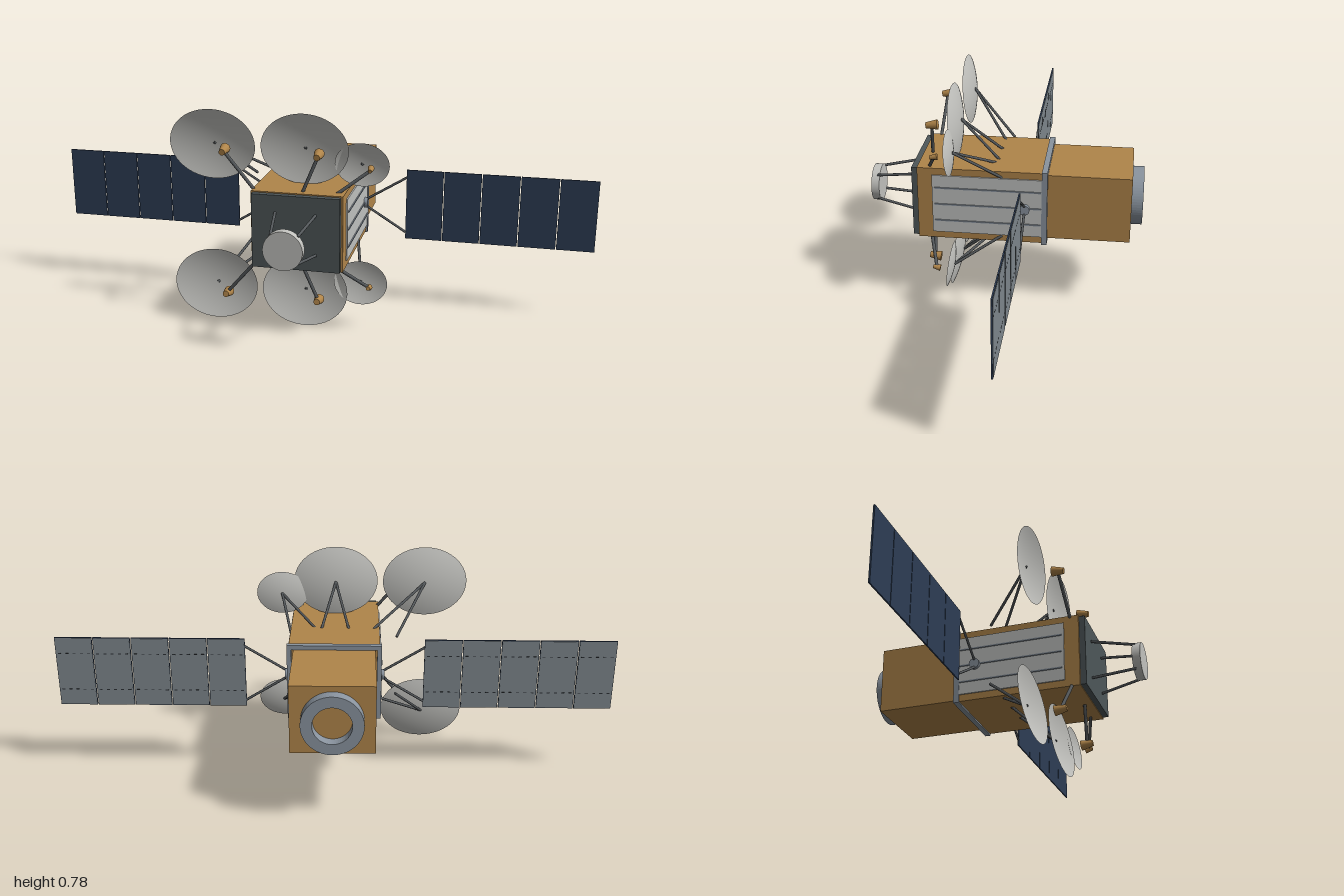
import * as THREE from 'three';

const CY = 0.39; // height of the main axis
const mat = (name, color, side = THREE.FrontSide) => {
  const m = new THREE.MeshStandardMaterial({ color, side });
  m.name = name;
  return m;
};

export function createModel() {
  const M = {
    gold: mat('gold foil', 0xb0854a),
    dish: mat('pale dish grey', 0xc2c2be, THREE.DoubleSide),
    silver: mat('radiator silver', 0xc0c2c0),
    steel: mat('blue steel', 0x8a949f),
    strut: mat('dark strut grey', 0x54585b),
    plate: mat('dark front plate', 0x4e5759),
    solar: mat('solar navy', 0x2d3d55),
    back: mat('panel back grey', 0x7e878d),
    dark: mat('near black', 0x2a2e32),
  };
  const root = new THREE.Group();
  root.name = 'satellite';

  const add = (name, geometry, material, x = 0, y = 0, z = 0, parent = root) => {
    const mesh = new THREE.Mesh(geometry, material);
    mesh.name = name;
    mesh.position.set(x, y, z);
    parent.add(mesh);
    return mesh;
  };
  const box = (name, material, w, h, d, x, y, z, parent) =>
    add(name, new THREE.BoxGeometry(w, h, d), material, x, y, z, parent);

  // Round bar or cone between two points
  const UP = new THREE.Vector3(0, 1, 0);
  const bar = (name, material, a, b, r0, r1 = r0, sides = 10) => {
    const p = new THREE.Vector3(...a), q = new THREE.Vector3(...b);
    const dir = q.clone().sub(p);
    const mesh = add(name, new THREE.CylinderGeometry(r1, r0, dir.length(), sides), material);
    mesh.position.copy(p).add(q).multiplyScalar(0.5);
    mesh.quaternion.setFromUnitVectors(UP, dir.normalize());
    return mesh;
  };

  // Body
  box('frontBody', M.gold, 0.32, 0.27, 0.45, 0, CY + 0.002, 0.077);
  box('rearBody', M.gold, 0.286, 0.244, 0.31, 0, CY + 0.002, -0.297);
  box('frontPlate', M.plate, 0.306, 0.262, 0.022, 0, CY + 0.002, 0.312);

  // Frame between the two bodies
  for (const s of [-1, 1]) {
    box('frameUpright', M.steel, 0.016, 0.28, 0.02, s * 0.158, CY + 0.002, -0.149);
    box('frameRail', M.steel, 0.332, 0.016, 0.02, 0, CY + 0.002 + s * 0.132, -0.149);
  }

  // Engine ring at the rear
  const ring = new THREE.Shape().absarc(0, 0, 0.105, 0, Math.PI * 2, false);
  ring.holes.push(new THREE.Path().absarc(0, 0, 0.066, 0, Math.PI * 2, true));
  add('engineRing', new THREE.ExtrudeGeometry(ring, { depth: 0.041, bevelEnabled: false, curveSegments: 32 }),
    M.steel, 0, CY, -0.492);

  // Front antenna drum on four legs
  const drum = add('antennaDrum', new THREE.CylinderGeometry(0.067, 0.067, 0.029, 40), M.dish, 0, CY, 0.48);
  drum.rotation.x = Math.PI / 2;
  for (const sx of [-1, 1]) for (const sy of [-1, 1]) {
    bar('drumLeg', M.strut, [sx * 0.07, CY + sy * 0.071, 0.322], [sx * 0.045, CY + sy * 0.046, 0.475], 0.005);
  }

  // Side radiators and solar wings
  const cells = 5, x0 = 0.318, x1 = 1.0, pitch = (x1 - x0) / cells;
  const wingH = 0.263, wingZ = -0.079;
  for (const s of [-1, 1]) {
    box('radiator', M.silver, 0.006, 0.22, 0.388, s * 0.162, CY + 0.002, 0.055);
    for (const dy of [-0.063, 0, 0.063]) {
      box('radiatorRib', M.steel, 0.005, 0.005, 0.378, s * 0.1665, CY + 0.002 + dy, 0.052);
    }
    const hub = add('wingHub', new THREE.CylinderGeometry(0.019, 0.019, 0.016, 24), M.steel, s * 0.17, CY, wingZ);
    hub.rotation.z = Math.PI / 2;
    for (const t of [-1, 1]) {
      bar('wingYoke', M.strut, [s * 0.17, CY + t * 0.012, wingZ], [s * 0.32, CY + t * 0.105, wingZ], 0.0045);
    }
    const wing = new THREE.Group();
    wing.name = 'solarWing';
    wing.position.set(0, CY + 0.003, wingZ);
    root.add(wing);
    for (let i = 0; i < cells; i++) {
      const x = s * (x0 + (i + 0.5) * pitch);
      box('solarCell', M.solar, pitch - 0.003, wingH, 0.005, x, 0, 0, wing);
      box('cellBack', M.back, pitch - 0.006, wingH - 0.004, 0.002, x, 0, -0.003, wing);
      for (const dy of [-0.07, 0.07]) for (let k = -2; k <= 2; k++) {
        box('backDash', M.dark, 0.011, 0.003, 0.001, x + k * 0.026, dy, -0.0042, wing);
      }
    }
  }

  // Dishes with struts, feed horn and arm, mirrored above and below
  const dishes = [
    { x: -0.33, dy: 0.263, rx: 0.155, k: 1, feed: [-0.265, 0.262, 0.262], foot: [-0.15, 0.272] },
    { x: 0, dy: 0.263, rx: 0.155, k: 1, feed: [0.065, 0.262, 0.262], foot: [0.01, 0.272] },
    { x: 0.2, dy: 0.217, rx: 0.095, k: 0.62, feed: [0.237, 0.214, 0.225], foot: [0.12, 0.265] },
  ];
  for (const s of [1, -1]) for (const d of dishes) {
    const profile = [];
    for (let i = 0; i <= 10; i++) profile.push(new THREE.Vector2(d.rx * i / 10, 0.021 * d.k * (i / 10) ** 2));
    const bowl = new THREE.LatheGeometry(profile, 48);
    bowl.rotateX(Math.PI / 2);
    bowl.scale(1, 0.825, 1);
    const y = CY + s * d.dy;
    add('dish', bowl, M.dish, d.x, y, 0.167).rotation.x = s * 0.1;
    for (const t of [-1, 1]) {
      bar('dishStrut', M.strut, [d.x * 0.5 + t * 0.057, CY + s * 0.113, 0], [d.x, y, 0.167], 0.005);
    }
    const [fx, fy, fz] = d.feed, h = 0.021 * d.k;
    bar('feedHorn', M.gold, [fx, CY + s * (fy - 0.003), fz + h], [fx, CY + s * (fy + 0.002), fz - h],
      0.011 * d.k, 0.018 * d.k, 20);
    bar('feedArm', M.strut, [d.foot[0], CY + s * 0.125, d.foot[1]], [fx, CY + s * (fy - 0.003), fz], 0.006);
  }
  return root;
}
